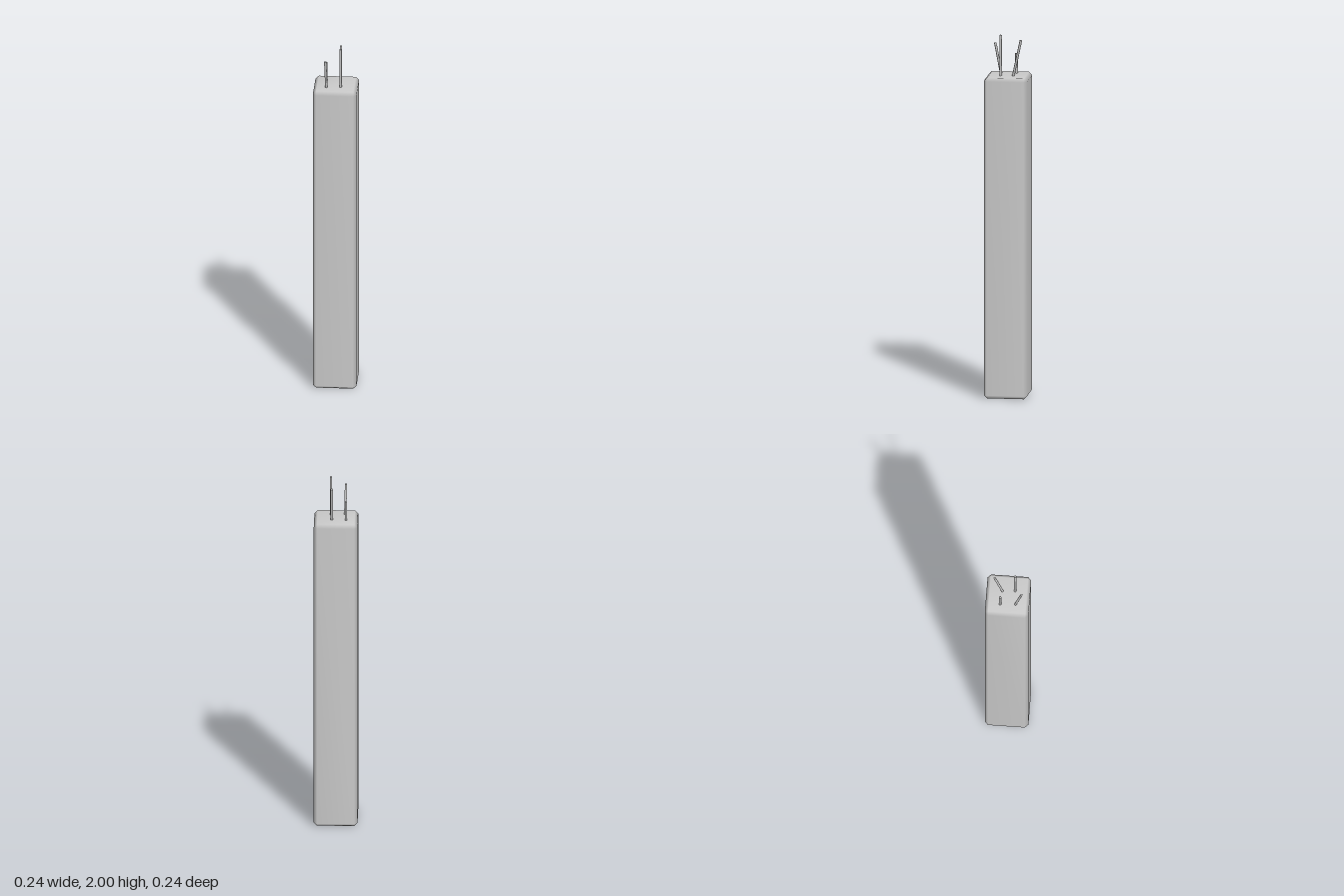
import * as THREE from 'three';
import { ConvexGeometry } from 'three/addons/geometries/ConvexGeometry.js';
import { mergeVertices } from 'three/addons/utils/BufferGeometryUtils.js';

const HALF = 0.119;     // half width of the post
const HEIGHT = 1.775;   // height of the post
const BEVEL = 0.018;
const ROD_RADIUS = 0.007;

const material = new THREE.MeshStandardMaterial({ color: 0xcccccc });

// Box with a single bevel on every edge: three points around each corner
function beveledBox(hx, hy, hz, b) {
  const points = [];
  for (const sx of [-1, 1]) for (const sy of [-1, 1]) for (const sz of [-1, 1]) {
    points.push(
      new THREE.Vector3(sx * hx, sy * (hy - b), sz * (hz - b)),
      new THREE.Vector3(sx * (hx - b), sy * hy, sz * (hz - b)),
      new THREE.Vector3(sx * (hx - b), sy * (hy - b), sz * hz)
    );
  }
  let geometry = new ConvexGeometry(points);
  // Shared vertices give softly shaded bevels
  geometry.deleteAttribute('normal');
  geometry = mergeVertices(geometry, 1e-5);
  geometry.computeVertexNormals();
  return geometry;
}

// Six-sided rod between two points
function rod(name, from, to) {
  const a = new THREE.Vector3(...from);
  const b = new THREE.Vector3(...to);
  const dir = b.clone().sub(a);
  const mesh = new THREE.Mesh(
    new THREE.CylinderGeometry(ROD_RADIUS, ROD_RADIUS, dir.length(), 6), material);
  mesh.name = name;
  mesh.position.copy(a).add(b).multiplyScalar(0.5);
  mesh.quaternion.setFromUnitVectors(new THREE.Vector3(0, 1, 0), dir.normalize());
  return mesh;
}

export function createModel() {
  const model = new THREE.Group();
  model.name = 'concretePillar';

  // Square post
  const post = new THREE.Mesh(beveledBox(HALF, HEIGHT / 2, HALF, BEVEL), material);
  post.name = 'post';
  post.position.y = HEIGHT / 2;
  model.add(post);

  // Reinforcing rods standing out of the top, two straight and two bent
  const base = HEIGHT - 0.01;
  const rods = new THREE.Group();
  rods.name = 'reinforcingRods';
  rods.add(
    rod('frontLeftRod', [0.028, base, 0.037], [0.028, 2.0, 0.037]),
    rod('backLeftRod', [0.022, base, -0.03], [0.022, 1.972, -0.074]),
    rod('frontRightRod', [-0.049, base, 0.043], [-0.053, 1.941, 0.077]),
    rod('backRightRod', [-0.055, base, -0.039], [-0.055, 1.885, -0.039])
  );
  model.add(rods);

  return model;
}
